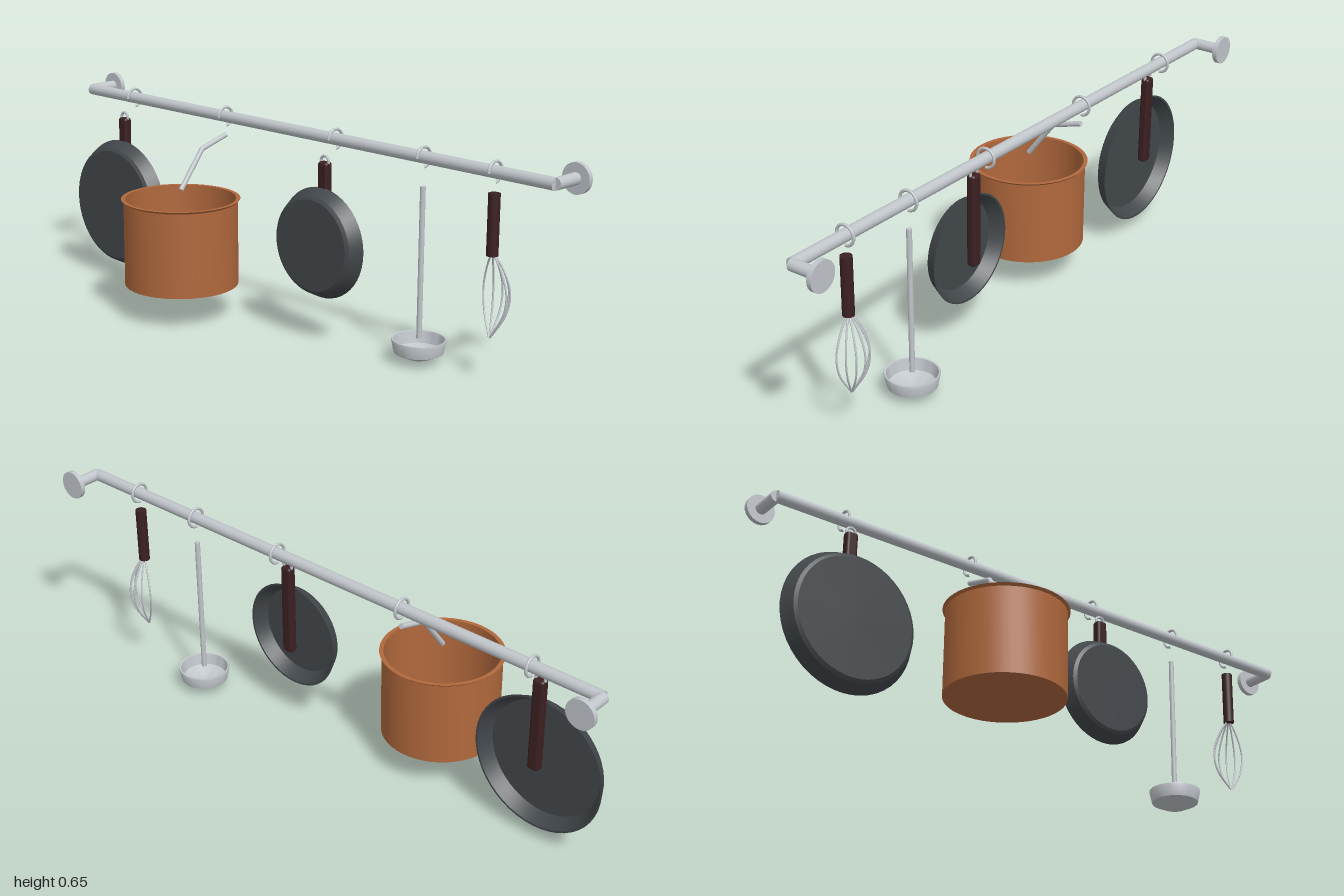
import * as THREE from 'three';
import { toCreasedNormals } from 'three/addons/utils/BufferGeometryUtils.js';
import { RoundedBoxGeometry } from 'three/addons/geometries/RoundedBoxGeometry.js';

const material = (name, color) => {
  const m = new THREE.MeshStandardMaterial({ color });
  m.name = name;
  return m;
};

export function createModel() {
  const root = new THREE.Group();
  root.name = 'hangingKitchenRail';
  const steel = material('steel', 0xc0c5ca);
  const iron = material('darkIron', 0x42474b);
  const copper = material('copper', 0xb0683c);
  const wood = material('darkWood', 0x3c2022);
  const railY = 0.604, railZ = -0.136;

  const add = (parent, name, geometry, mat, x = 0, y = 0, z = 0) => {
    const mesh = new THREE.Mesh(geometry, mat);
    mesh.name = name;
    mesh.position.set(x, y, z);
    parent.add(mesh);
    return mesh;
  };
  const group = (name, x) => {
    const g = new THREE.Group();
    g.name = name;
    g.position.x = x;
    root.add(g);
    return g;
  };
  // Closed turned profile, edges kept crisp
  const turned = (points, crease = 0.6) => toCreasedNormals(
    new THREE.LatheGeometry(points.map(([r, y]) => new THREE.Vector2(r, y)), 48), crease);
  // Straight round bar between two points
  const bar = (parent, name, a, b, r, mat) => {
    const from = new THREE.Vector3(...a), to = new THREE.Vector3(...b);
    const dir = to.clone().sub(from);
    const mesh = add(parent, name, new THREE.CylinderGeometry(r, r, dir.length(), 24), mat);
    mesh.position.copy(from).add(to).multiplyScalar(0.5);
    mesh.quaternion.setFromUnitVectors(new THREE.Vector3(0, 1, 0), dir.normalize());
  };

  // Rail with a wall bracket at each end
  bar(root, 'rail', [-0.957, railY, railZ], [0.957, railY, railZ], 0.018, steel);
  for (const side of [-1, 1]) {
    const x = side * 0.956;
    bar(root, 'bracketArm', [x, railY, railZ], [x, railY, -0.23], 0.0175, steel);
    bar(root, 'wallFlange', [x, railY, -0.225], [x, railY, -0.24], 0.044, steel);
  }

  // Open hooks over the rail
  for (const x of [-0.737, -0.297, 0.173, 0.51, 0.76]) {
    const hook = add(root, 'hook', new THREE.TorusGeometry(0.029, 0.0045, 10, 36, Math.PI * 1.5),
      steel, x, railY, railZ);
    hook.rotation.y = -Math.PI / 2;
  }

  // Two frying pans, bases facing forward
  for (const [name, x, y, r] of [['largePan', -0.737, 0.256, 0.211], ['smallPan', 0.173, 0.299, 0.168]]) {
    const pan = group(name, x);
    const base = turned([
      [0, -0.042], [r - 0.031, -0.042], [r - 0.006, -0.08], [r, -0.08],
      [r - 0.02, -0.041], [r - 0.03, -0.034], [0, -0.034],
    ], 0.4);
    base.rotateX(Math.PI / 2);
    add(pan, 'panBody', base, iron, 0, y, 0);
    add(pan, 'panHandle', new RoundedBoxGeometry(0.037, 0.292, 0.029, 3, 0.009), wood, 0, 0.397, -0.0925);
    add(pan, 'hangingLoop', new THREE.TorusGeometry(0.015, 0.0045, 10, 24), steel, 0, 0.545, -0.0925);
  }

  // Copper pot with a flared lip and a bent handle
  const pot = group('copperPot', -0.296);
  add(pot, 'potBody', turned([
    [0, 0.104], [0.1765, 0.104], [0.1765, 0.368], [0.184, 0.375],
    [0.171, 0.375], [0.171, 0.112], [0, 0.112],
  ]), copper, 0, 0, 0.0555);
  const bend = [0, 0.516, -0.035];
  bar(pot, 'potHandleLower', [0, 0.4, 0.054], bend, 0.008, steel);
  bar(pot, 'potHandleUpper', bend, [0, 0.546, -0.136], 0.008, steel);
  add(pot, 'potHandleBend', new THREE.SphereGeometry(0.008, 20, 14), steel, ...bend);

  // Ladle
  const ladle = group('ladle', 0.51);
  bar(ladle, 'ladleHandle', [0, 0.073, railZ], [0, 0.52, railZ], 0.008, steel);
  add(ladle, 'ladleBowl', turned([
    [0, 0.001], [0.04, 0.016], [0.072, 0.031], [0.08, 0.068], [0.079, 0.071],
    [0.074, 0.07], [0.067, 0.035], [0.038, 0.021], [0, 0.008],
  ], 0.75), steel, 0, 0, railZ);

  // Whisk with wires fanned around the back half
  const whisk = group('whisk', 0.76);
  bar(whisk, 'whiskHandle', [0, 0.37, railZ], [0, 0.545, railZ], 0.017, wood);
  const wirePath = new THREE.CatmullRomCurve3([
    [0.006, 0.374], [0.029, 0.338], [0.05, 0.285], [0.053, 0.246], [0.041, 0.198], [0.002, 0.135],
  ].map(([r, y]) => new THREE.Vector3(r, y, 0)));
  const wire = new THREE.TubeGeometry(wirePath, 32, 0.0027, 8);
  for (let i = 0; i < 6; i++) {
    add(whisk, 'whiskWire', wire, steel, 0, 0, railZ).rotation.y = (i * Math.PI) / 6;
  }

  return root;
}
